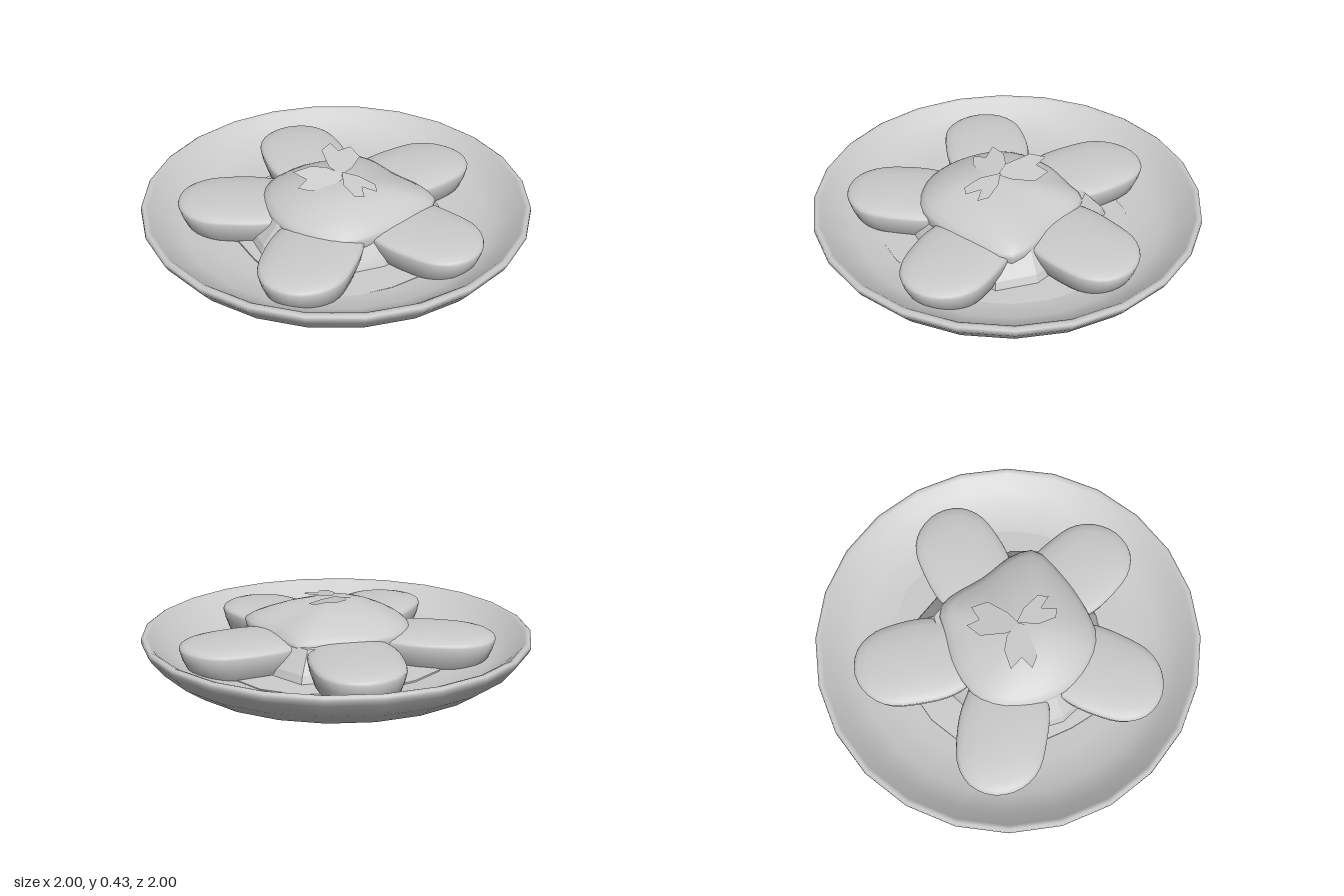
import * as THREE from 'three';
import { toCreasedNormals } from 'three/addons/utils/BufferGeometryUtils.js';

const material = new THREE.MeshStandardMaterial({ color: 0xcccccc });
const thin = new THREE.MeshStandardMaterial({ color: 0xcccccc, side: THREE.DoubleSide });

function mesh(name, geometry, mat = material) {
  const m = new THREE.Mesh(geometry, mat);
  m.name = name;
  return m;
}

// Stack scaled copies of a closed [x, z] outline; layers are [scale, y] from bottom to top
function loft(outline, [cx, cz], layers, crease, n = 40) {
  const curve = new THREE.CatmullRomCurve3(outline.map(([x, z]) => new THREE.Vector3(x, 0, z)), true);
  const ring = curve.getSpacedPoints(n).slice(0, n);
  const positions = [], index = [];
  layers.forEach(([s, y], j) => ring.forEach((p, i) => {
    positions.push(cx + (p.x - cx) * s, y, cz + (p.z - cz) * s);
    if (j === 0) return;
    const a = (j - 1) * n + i, b = (j - 1) * n + (i + 1) % n;
    index.push(a, a + n, b, b, a + n, b + n);
  }));
  const g = new THREE.BufferGeometry();
  g.setAttribute('position', new THREE.Float32BufferAttribute(positions, 3));
  g.setIndex(index);
  return toCreasedNormals(g, crease);
}

// Flat leaflet from an [x, z] outline, tilted by a height rule
function leaflet(outline, height) {
  const shape = new THREE.Shape(outline.map(([x, z]) => new THREE.Vector2(x, -z)));
  const g = new THREE.ShapeGeometry(shape).rotateX(-Math.PI / 2);
  const p = g.attributes.position;
  for (let i = 0; i < p.count; i++) p.setY(i, height(p.getX(i), p.getZ(i)));
  g.computeVertexNormals();
  return g;
}

export function createModel() {
  const model = new THREE.Group();
  model.name = 'platedDish';

  // Shallow plate: underside, rolled rim, inner bowl
  const profile = [
    [0, 0], [0.35, 0.004], [0.68, 0.017], [0.83, 0.06], [0.93, 0.132], [0.985, 0.203], [1, 0.23],
    [0.998, 0.247], [0.985, 0.255], [0.965, 0.247], [0.9, 0.187], [0.8, 0.132], [0.65, 0.104], [0.4, 0.092], [0, 0.09],
  ].map(([x, y]) => new THREE.Vector2(x, y));
  model.add(mesh('plate', new THREE.LatheGeometry(profile, 24)));

  // Irregular sauce puddle
  const puddle = [
    [0.05, -0.56], [0.35, -0.5], [0.52, -0.38], [0.61, -0.18], [0.67, 0.2], [0.62, 0.38], [0.4, 0.6], [0.2, 0.65],
    [-0.1, 0.65], [-0.35, 0.58], [-0.5, 0.42], [-0.55, 0.1], [-0.5, -0.25], [-0.4, -0.42], [-0.2, -0.53],
  ];
  model.add(mesh('sauce', loft(puddle, [0.04, 0.05], [[1, 0.095], [1, 0.108], [0.9, 0.112], [0, 0.115]], 0.6, 20)));

  // Flared faceted base under the mound
  const base = [
    [0.37, -0.36], [0.46, -0.1], [0.48, 0.25], [0.41, 0.45], [0.05, 0.49],
    [-0.2, 0.48], [-0.42, 0.3], [-0.5, 0.05], [-0.42, -0.22], [-0.14, -0.38],
  ];
  model.add(mesh('moundBase', loft(base, [0, 0.06], [[1.02, 0.09], [0.97, 0.15], [0.8, 0.25], [0, 0.25]], 0.3, 14)));

  // Central domed mound with a squarish outline and an off-centre peak
  const mound = [
    [-0.1, -0.32], [0.03, -0.32], [0.2, -0.27], [0.31, -0.235], [0.35, -0.15], [0.36, 0.05], [0.39, 0.25], [0.36, 0.37],
    [0.2, 0.42], [0, 0.435], [-0.2, 0.41], [-0.3, 0.34], [-0.38, 0.2], [-0.4, 0.05], [-0.37, -0.1], [-0.3, -0.23], [-0.2, -0.3],
  ];
  const moundLayers = [[0.9, 0.12], [0.98, 0.2], [1, 0.25], [0.98, 0.265], [0.9, 0.287],
    [0.75, 0.314], [0.55, 0.342], [0.3, 0.366], [0.12, 0.374], [0, 0.375]];
  model.add(mesh('mound', loft(mound, [-0.06, 0.12], moundLayers, 0.9)));

  // Five wedges with gently domed tops arranged in a star
  const wedge = [
    [0.2, -0.14], [0.35, -0.22], [0.55, -0.222], [0.7, -0.19], [0.79, -0.11], [0.83, 0.01],
    [0.795, 0.135], [0.7, 0.208], [0.55, 0.23], [0.38, 0.215], [0.2, 0.13],
  ];
  const wedgeLayers = [[0, 0.08], [0.76, 0.085], [0.88, 0.12], [0.96, 0.175], [1, 0.222], [0.985, 0.234],
    [0.94, 0.242], [0.8, 0.253], [0.5, 0.263], [0.2, 0.267], [0, 0.268]];
  const wedgeGeometry = loft(wedge, [0.52, 0], wedgeLayers, 1);
  [0, 75, 145, 218, 287].forEach((degrees) => {
    const w = mesh('wedge', wedgeGeometry);
    w.position.z = 0.02;
    w.rotation.y = THREE.MathUtils.degToRad(degrees);
    model.add(w);
  });

  // Sprig of three notched leaflets on top
  const sprig = new THREE.Group();
  sprig.name = 'garnish';
  sprig.add(
    mesh('backLeaf', leaflet([[-0.01, 0.06], [-0.03, -0.02], [0.02, -0.15], [0.1, -0.18], [0.1, -0.11],
      [0.18, -0.11], [0.17, -0.02], [0.07, 0.04]], (x, z) => 0.405 - 0.05 * x - 0.19 * z), thin),
    mesh('leftLeaf', leaflet([[0, 0.05], [-0.04, -0.03], [-0.1, -0.08], [-0.2, -0.1], [-0.17, -0.02],
      [-0.24, 0], [-0.2, 0.05], [-0.1, 0.09], [-0.02, 0.08]], (x, z) => 0.405 + 0.14 * x - 0.25 * z), thin),
    mesh('frontLeaf', leaflet([[0, 0.05], [0.05, 0.12], [0.08, 0.22], [0.05, 0.27], [0.01, 0.2],
      [-0.03, 0.27], [-0.07, 0.24], [-0.06, 0.14]], (x, z) => 0.41 - 0.13 * z), thin),
  );
  model.add(sprig);
  return model;
}
